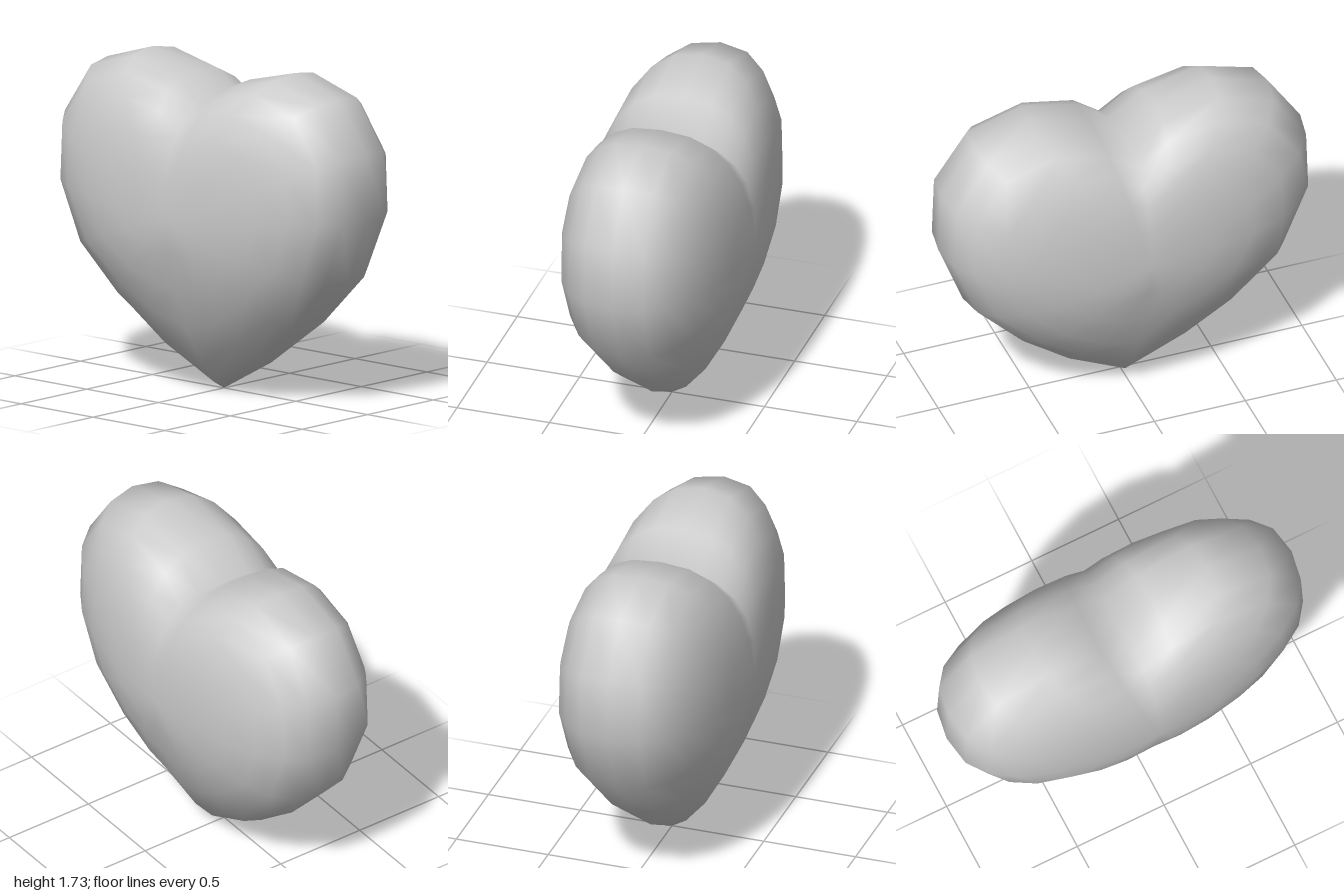
import * as THREE from 'three';

// Half outline from cleft to tip: x, y, fullness of the cross-section, lift that softens the cleft
const HALF = [
  [0, 1.5, 2.6, 0.12], [0.18, 1.645, 2.5, 0.05], [0.5, 1.725, 2.4, 0], [0.81, 1.63, 2.45, 0],
  [0.99, 1.36, 2.55, 0], [1, 1.02, 2.6, 0], [0.865, 0.67, 2.4, 0], [0.6, 0.39, 2.1, 0],
  [0.33, 0.18, 1.8, 0], [0, 0, 1.5, 0],
];
const MID_Y = 0.95, DEPTH = 0.455, STEPS = 6;

function heartGeometry() {
  // Mirror the half outline into a closed loop, clockwise from the front
  const mirrored = HALF.slice(1, -1).reverse().map(([x, ...rest]) => [-x, ...rest]);
  const loop = [...HALF, ...mirrored];
  const n = loop.length;
  const positions = [], index = [];

  // Rings from back to front, each a shrunken outline bulging in z
  for (let k = -STEPS + 1; k < STEPS; k++) {
    const a = (Math.abs(k) / STEPS) * Math.PI / 2;
    for (const [x, y, p, lift] of loop) {
      const s = Math.cos(a) ** (2 / p);
      const z = DEPTH * Math.sign(k) * Math.sin(a) ** (2 / p);
      positions.push(x * s, MID_Y + s * (y - MID_Y + lift * (1 - s)), z);
    }
  }
  const rings = 2 * STEPS - 1;
  const back = rings * n, front = back + 1;
  positions.push(0, MID_Y, -DEPTH, 0, MID_Y, DEPTH);

  for (let i = 0; i < n; i++) {
    const j = (i + 1) % n;
    for (let r = 0; r < rings - 1; r++) {
      const a = r * n + i, b = r * n + j, c = a + n, d = b + n;
      index.push(a, c, b, b, c, d);
    }
    // Close the back and front
    index.push(back, i, j);
    index.push(front, (rings - 1) * n + j, (rings - 1) * n + i);
  }

  const geometry = new THREE.BufferGeometry();
  geometry.setAttribute('position', new THREE.Float32BufferAttribute(positions, 3));
  geometry.setIndex(index);
  geometry.computeVertexNormals();
  return geometry;
}

export function createModel() {
  const group = new THREE.Group();
  const heart = new THREE.Mesh(heartGeometry(), new THREE.MeshStandardMaterial({ color: 0xcccccc }));
  heart.name = 'heart';
  group.add(heart);
  return group;
}
